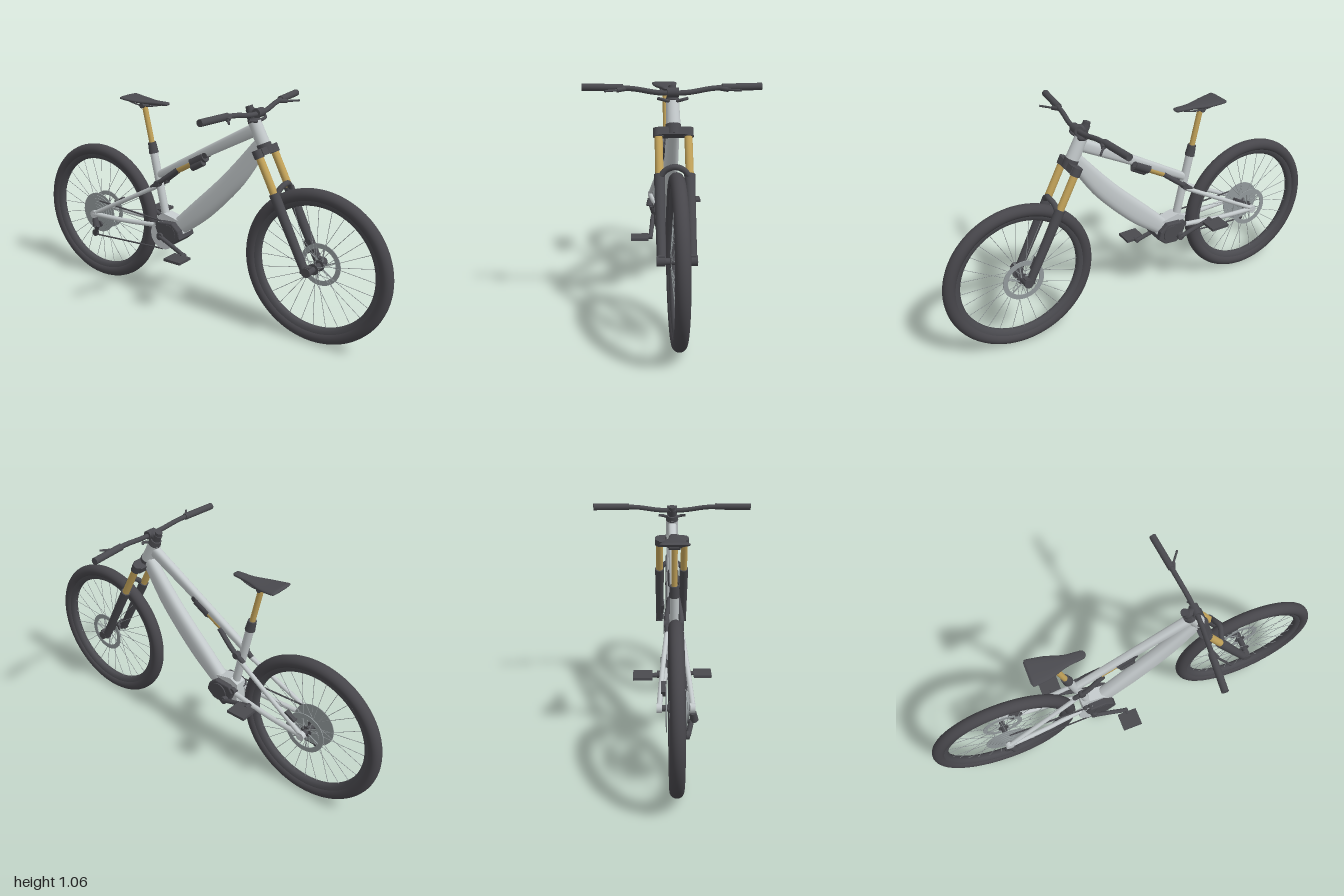
import * as THREE from 'three';

const mat = (name, color, opts = {}) => Object.assign(new THREE.MeshStandardMaterial({ color, ...opts }), { name });

export function createModel() {
  const M = {
    frame: mat('frame silver', 0xc3c9cb),
    dark: mat('dark parts', 0x4a4a4f),
    tyre: mat('tyre rubber', 0x47464b),
    gold: mat('gold slider', 0xc4a45a),
    steel: mat('steel grey', 0x939a9c),
  };
  const root = new THREE.Group();
  root.name = 'bicycle';
  const V = (x, y, z = 0) => new THREE.Vector3(x, y, z);

  function add(name, geo, material, parent = root) {
    const m = new THREE.Mesh(geo, material);
    m.name = name;
    parent.add(m);
    return m;
  }
  // straight round bar between two points
  function rod(name, material, a, b, r1, r2 = r1, parent = root, seg = 20) {
    const d = b.clone().sub(a);
    const m = add(name, new THREE.CylinderGeometry(r2, r1, d.length(), seg), material, parent);
    m.position.copy(a).addScaledVector(d, 0.5);
    m.quaternion.setFromUnitVectors(V(0, 1), d.normalize());
    return m;
  }
  const tube = (name, material, pts, r, n = 24) =>
    add(name, new THREE.TubeGeometry(new THREE.CatmullRomCurve3(pts), n, r, 10), material);
  function box(name, material, p, s, rotZ = 0) {
    const m = add(name, new THREE.BoxGeometry(...s), material);
    m.position.copy(p);
    m.rotation.z = rotZ;
    return m;
  }
  // flat outline in the xy plane, given depth along z
  function plate(name, material, outline, z, depth, bevel = 0) {
    const shape = new THREE.Shape(outline.map(([x, y]) => new THREE.Vector2(x, y)));
    const m = add(name, new THREE.ExtrudeGeometry(shape, { depth, bevelEnabled: bevel > 0, bevelSize: bevel, bevelThickness: bevel, bevelSegments: 2 }), material);
    m.position.z = z;
    return m;
  }
  // oval sections [x, y, half height, half width] lofted along the centre plane
  function loft(name, material, sections, steps = 16, seg = 24) {
    const path = new THREE.CatmullRomCurve3(sections.map(s => V(s[0], s[1])));
    const size = new THREE.CatmullRomCurve3(sections.map(s => V(s[2], s[3])));
    const pos = [], idx = [];
    for (let i = 0; i <= steps; i++) {
      const u = i / steps, c = path.getPoint(u), t = path.getTangent(u), s = size.getPoint(u);
      for (let j = 0; j < seg; j++) {
        const a = (j / seg) * Math.PI * 2, p = 0.75;
        const h = Math.sign(Math.cos(a)) * Math.abs(Math.cos(a)) ** p * s.x;
        const w = Math.sign(Math.sin(a)) * Math.abs(Math.sin(a)) ** p * s.y;
        pos.push(c.x - t.y * h, c.y + t.x * h, w);
        if (i < steps) {
          const k = (j + 1) % seg, A = i * seg + j, B = i * seg + k;
          idx.push(A, B, B + seg, A, B + seg, A + seg);
        }
      }
    }
    const g = new THREE.BufferGeometry();
    g.setAttribute('position', new THREE.Float32BufferAttribute(pos, 3));
    g.setIndex(idx);
    g.computeVertexNormals();
    return add(name, g, material);
  }

  // wheels with rim, hub, spokes and brake rotor
  const AX = 0.637, AY = 0.366;
  for (const [name, x] of [['rearWheel', -AX], ['frontWheel', AX]]) {
    const w = new THREE.Group();
    w.name = name;
    w.position.set(x, AY, 0);
    root.add(w);
    add('tyre', new THREE.TorusGeometry(0.334, 0.03, 20, 80), M.tyre, w);
    const rim = [[0.312, -0.02], [0.296, -0.018], [0.287, -0.008], [0.287, 0.008], [0.296, 0.018], [0.312, 0.02]];
    const rimMat = M.dark;
    const r = add('rim', new THREE.LatheGeometry(rim.map(p => new THREE.Vector2(...p)).reverse(), 80), rimMat, w);
    r.rotation.x = Math.PI / 2;
    rimMat.side = THREE.DoubleSide;
    rod('hub', M.dark, V(0, 0, -0.06), V(0, 0, 0.06), 0.014, 0.014, w);
    for (const s of [-1, 1]) rod('hubFlange', M.dark, V(0, 0, s * 0.024), V(0, 0, s * 0.03), 0.026, 0.026, w);
    for (let i = 0; i < 28; i++) {
      const a = (i / 28) * Math.PI * 2, b = a + (i % 4 < 2 ? 0.5 : -0.5), s = i % 2 ? 1 : -1;
      rod('spoke', M.steel, V(0.024 * Math.cos(b), 0.024 * Math.sin(b), s * 0.027),
        V(0.29 * Math.cos(a), 0.29 * Math.sin(a), 0), 0.0013, 0.0013, w, 5);
    }
    const ring = new THREE.Shape().absarc(0, 0, 0.1, 0, Math.PI * 2);
    ring.holes.push(new THREE.Path().absarc(0, 0, 0.077, 0, Math.PI * 2, true));
    add('brakeRotor', new THREE.ExtrudeGeometry(ring, { depth: 0.004, bevelEnabled: false, curveSegments: 32 }), M.steel, w).position.z = -0.042;
    for (let i = 0; i < 6; i++) {
      const a = (i / 6) * Math.PI * 2;
      rod('rotorArm', M.steel, V(0.02 * Math.cos(a), 0.02 * Math.sin(a), -0.04),
        V(0.08 * Math.cos(a + 0.35), 0.08 * Math.sin(a + 0.35), -0.04), 0.003, 0.003, w, 6);
    }
  }

  // main frame
  loft('downTube', M.frame, [[0.345, 0.892, 0.034, 0.028], [0.2, 0.7, 0.05, 0.031], [0.03, 0.525, 0.054, 0.032], [-0.13, 0.385, 0.042, 0.032]]);
  loft('topTube', M.frame, [[0.305, 0.947, 0.03, 0.022], [0.04, 0.8, 0.024, 0.019], [-0.25, 0.636, 0.018, 0.017]]);
  rod('headTube', M.frame, V(0.295, 0.986), V(0.352, 0.874), 0.029, 0.032);
  rod('seatTube', M.frame, V(-0.284, 0.755), V(-0.2, 0.38), 0.02);
  plate('motorMount', M.frame, [[-0.24, 0.43], [-0.2, 0.45], [-0.11, 0.43], [-0.08, 0.37], [-0.15, 0.31], [-0.24, 0.31]], -0.03, 0.06);

  // seat post and saddle
  rod('seatCollar', M.dark, V(-0.293, 0.795), V(-0.281, 0.742), 0.02, 0.024);
  rod('seatPost', M.gold, V(-0.333, 0.967), V(-0.29, 0.78), 0.0135);
  rod('seatClamp', M.dark, V(-0.335, 0.975, -0.025), V(-0.335, 0.975, 0.025), 0.013);
  for (const s of [-1, 1])
    tube('saddleRail', M.dark, [V(-0.42, 0.995, s * 0.03), V(-0.36, 0.978, s * 0.022), V(-0.29, 0.978, s * 0.02), V(-0.21, 0.993, s * 0.008)], 0.004);
  loft('saddle', M.dark, [[-0.445, 1.008, 0.001, 0.05], [-0.435, 1.006, 0.009, 0.065], [-0.36, 0.998, 0.01, 0.055],
    [-0.27, 0.995, 0.009, 0.027], [-0.195, 0.996, 0.008, 0.019], [-0.185, 0.996, 0.001, 0.008]], 24);

  // rear triangle and suspension link on both sides
  for (const s of [-1, 1]) {
    tube('chainStay', M.frame, [V(-0.64, 0.368, s * 0.07), V(-0.45, 0.37, s * 0.057), V(-0.24, 0.382, s * 0.036)], 0.012);
    tube('seatStay', M.frame, [V(-0.64, 0.37, s * 0.07), V(-0.44, 0.478, s * 0.052), V(-0.235, 0.588, s * 0.03)], 0.011);
    rod('dropout', M.frame, V(-AX, AY, s * 0.058), V(-AX, AY, s * 0.08), 0.02);
    tube('shockLink', M.dark, [V(-0.275, 0.572, s * 0.03), V(-0.21, 0.62, s * 0.033), V(-0.12, 0.69, s * 0.018)], 0.012);
    rod('linkPivot', M.dark, V(-0.235, 0.6, s * 0.018), V(-0.235, 0.6, s * 0.045), 0.016);
    rod('stayPivot', M.dark, V(-0.225, 0.395, s * 0.02), V(-0.225, 0.395, s * 0.05), 0.016);
  }
  // shock
  rod('shockShaft', M.gold, V(-0.13, 0.685), V(-0.03, 0.742), 0.018);
  rod('shockBody', M.dark, V(-0.045, 0.734), V(0.03, 0.776), 0.026);
  rod('shockReservoir', M.dark, V(-0.035, 0.713, 0.014), V(0.03, 0.75, 0.014), 0.017);
  rod('shockEye', M.dark, V(0.038, 0.785, -0.02), V(0.038, 0.785, 0.02), 0.014);

  // motor
  const motorOutline = [[-0.225, 0.385], [-0.205, 0.41], [-0.13, 0.415], [-0.095, 0.385], [-0.085, 0.35], [-0.12, 0.32], [-0.18, 0.315], [-0.21, 0.345]];
  plate('motor', M.dark, motorOutline, -0.05, 0.108, 0.006);
  rod('motorBarrel', M.dark, V(-0.15, 0.365, -0.062), V(-0.15, 0.365, 0.066), 0.045);

  // chainring, cassette and chain
  const BX = -0.195, BY = 0.343;
  rod('chainring', M.frame, V(BX, BY, 0.044), V(BX, BY, 0.05), 0.074, 0.074, root, 40);
  rod('crankAxle', M.dark, V(BX, BY, -0.078), V(BX, BY, 0.078), 0.018);
  for (let i = 0; i < 6; i++)
    rod('sprocket', M.steel, V(-AX, AY, 0.031 + i * 0.004), V(-AX, AY, 0.034 + i * 0.004), 0.106 - i * 0.014, 0.106 - i * 0.014, root, 40);
  rod('chainTop', M.dark, V(-0.62, 0.436, 0.044), V(BX, BY + 0.073, 0.047), 0.004, 0.004, root, 6);
  rod('chainBottom', M.dark, V(-0.655, 0.243, 0.047), V(BX, BY - 0.073, 0.047), 0.004, 0.004, root, 6);

  // derailleur
  rod('derailleurBody', M.dark, V(-0.635, 0.345, 0.07), V(-0.62, 0.305, 0.076), 0.014, 0.018);
  rod('derailleurCage', M.dark, V(-0.62, 0.305, 0.066), V(-0.655, 0.25, 0.05), 0.011);
  for (const [x, y] of [[-0.622, 0.31], [-0.655, 0.252]]) rod('jockeyWheel', M.dark, V(x, y, 0.042), V(x, y, 0.056), 0.018);

  // cranks and pedals
  for (const s of [-1, 1]) {
    const px = BX + s * 0.16, py = BY - s * 0.058;
    tube('crankArm', M.dark, [V(BX, BY, s * 0.072), V(BX + s * 0.05, BY - s * 0.018, s * 0.076), V(px, py, s * 0.088)], 0.011);
    rod('pedalAxle', M.dark, V(px, py, s * 0.078), V(px, py, s * 0.11), 0.01);
    box('pedal', M.dark, V(px, py, s * 0.141), [0.096, 0.013, 0.086]);
  }

  // front fork
  const F = (t, z) => V(0.355 + t * 0.255, 0.868 - t * 0.493, z);
  const tilt = Math.atan2(0.255, 0.493);
  box('forkCrown', M.dark, V(0.36, 0.857), [0.055, 0.034, 0.13], tilt);
  rod('crownRace', M.dark, V(0.346, 0.888), V(0.366, 0.846), 0.034);
  for (const s of [-1, 1]) {
    const z = s * 0.064;
    rod('crownClamp', M.dark, F(-0.01, z), F(0.06, z), 0.023);
    rod('stanchion', M.gold, F(0.03, z), F(0.45, z), 0.0175);
    rod('forkLower', M.dark, F(0.36, z), F(1.02, z), 0.0235, 0.019);
    rod('forkFoot', M.dark, V(AX - 0.008, AY, s * 0.048), V(AX - 0.008, AY, s * 0.084), 0.022);
    box('forkDropout', M.dark, V(0.62, 0.372, z), [0.045, 0.036, 0.026]);
  }
  tube('forkArch', M.dark, [F(0.37, -0.06).add(V(0.012, 0)), V(0.463, 0.71, -0.04), V(0.472, 0.727, 0), V(0.463, 0.71, 0.04), F(0.37, 0.06).add(V(0.012, 0))], 0.013);
  box('frontCaliper', M.dark, V(0.575, 0.44, -0.052), [0.035, 0.06, 0.026], tilt);
  box('rearCaliper', M.dark, V(-0.56, 0.42, -0.05), [0.06, 0.03, 0.024], 0.5);

  // headset, stem and handlebar
  rod('headset', M.dark, V(0.299, 0.98), V(0.287, 1.004), 0.031, 0.026);
  rod('stemClamp', M.dark, V(0.29, 0.998), V(0.272, 1.034), 0.02);
  rod('stemCap', M.dark, V(0.273, 1.032), V(0.267, 1.048), 0.017);
  rod('stem', M.dark, V(0.278, 1.016), V(0.318, 1.024), 0.02);
  rod('barClamp', M.dark, V(0.32, 1.024, -0.025), V(0.32, 1.024, 0.025), 0.021);
  const bar = s => [V(0.318, 1.023, s * 0.06), V(0.306, 1.038, s * 0.16), V(0.299, 1.043, s * 0.22)];
  tube('handlebar', M.dark, [...bar(-1).reverse(), ...bar(1)], 0.0115, 40);
  for (const s of [-1, 1]) {
    rod('grip', M.dark, V(0.299, 1.043, s * 0.215), V(0.282, 1.045, s * 0.39), 0.016);
    rod('leverMount', M.dark, V(0.302, 1.04, s * 0.2), V(0.318, 1.034, s * 0.24), 0.01);
    rod('brakeLever', M.dark, V(0.315, 1.034, s * 0.235), V(0.358, 1.034, s * 0.29), 0.005);
    tube('brakeHose', M.dark, [V(0.312, 0.998, s * 0.064), V(0.325, 0.994, s * 0.045), V(0.318, 0.986, s * 0.015)], 0.007);
  }
  return root;
}
